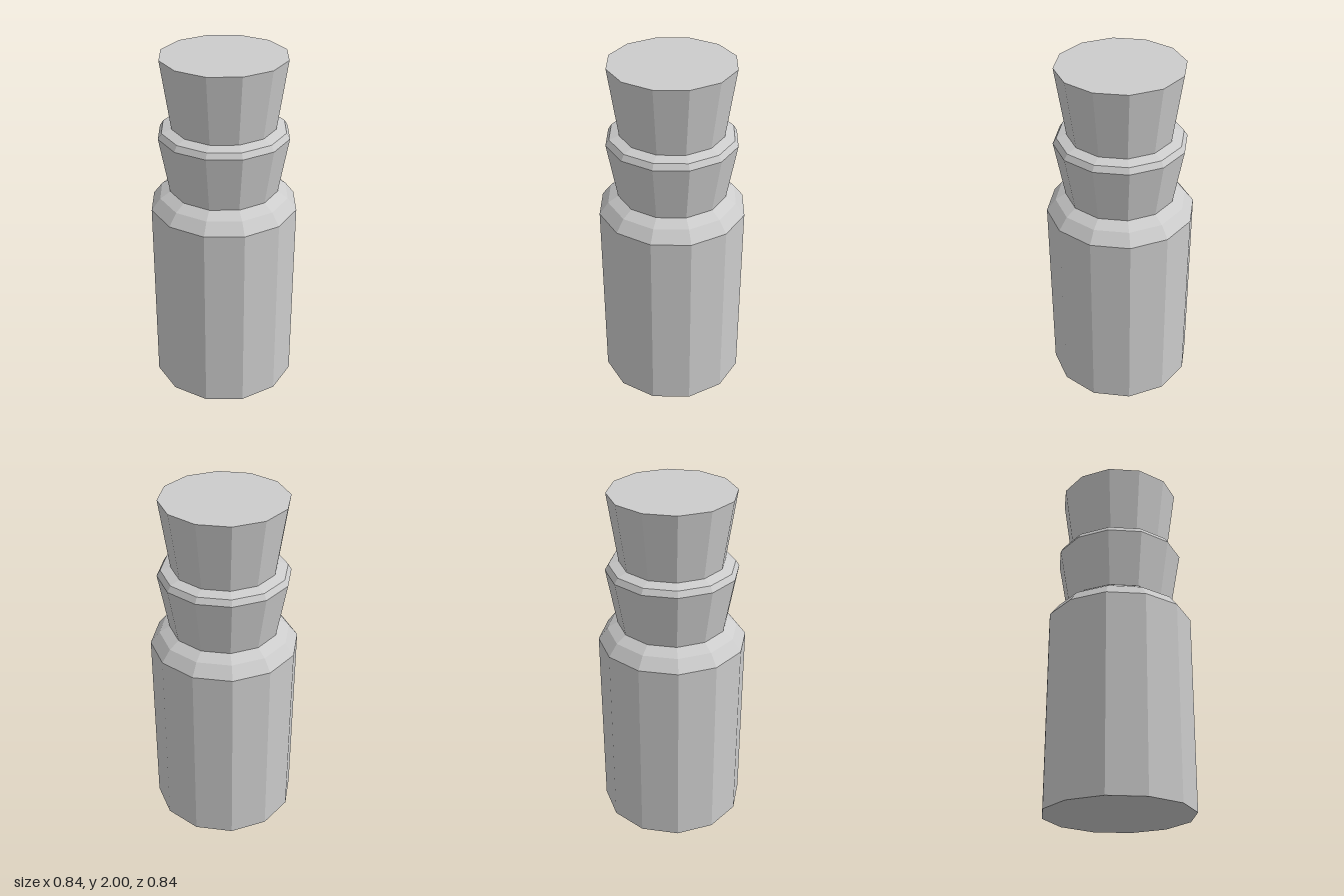
import * as THREE from 'three';

const SIDES = 12;

// Faceted solid of revolution; profile runs from bottom to top as [radius, y]
function turned(name, profile, material) {
  const points = profile.map(([r, y]) => new THREE.Vector2(r, y));
  const mesh = new THREE.Mesh(new THREE.LatheGeometry(points, SIDES), material);
  mesh.name = name;
  return mesh;
}

export function createModel() {
  const model = new THREE.Group();
  model.name = 'corkedBottle';
  const grey = new THREE.MeshStandardMaterial({ color: 0xcccccc, flatShading: true });

  // Straight body with a two-step bevelled shoulder
  model.add(turned('body', [
    [0, 0], [0.422, 0], [0.422, 1.13], [0.37, 1.197], [0.305, 1.238], [0, 1.238],
  ], grey));

  // Flared neck with a bevelled rim
  model.add(turned('neck', [
    [0, 1.235], [0.312, 1.235], [0.37, 1.56], [0.35, 1.592], [0.295, 1.61], [0, 1.61],
  ], grey));

  // Tapered stopper, wider at the top
  model.add(turned('stopper', [
    [0, 1.605], [0.293, 1.605], [0.35, 2], [0, 2],
  ], grey));

  return model;
}
